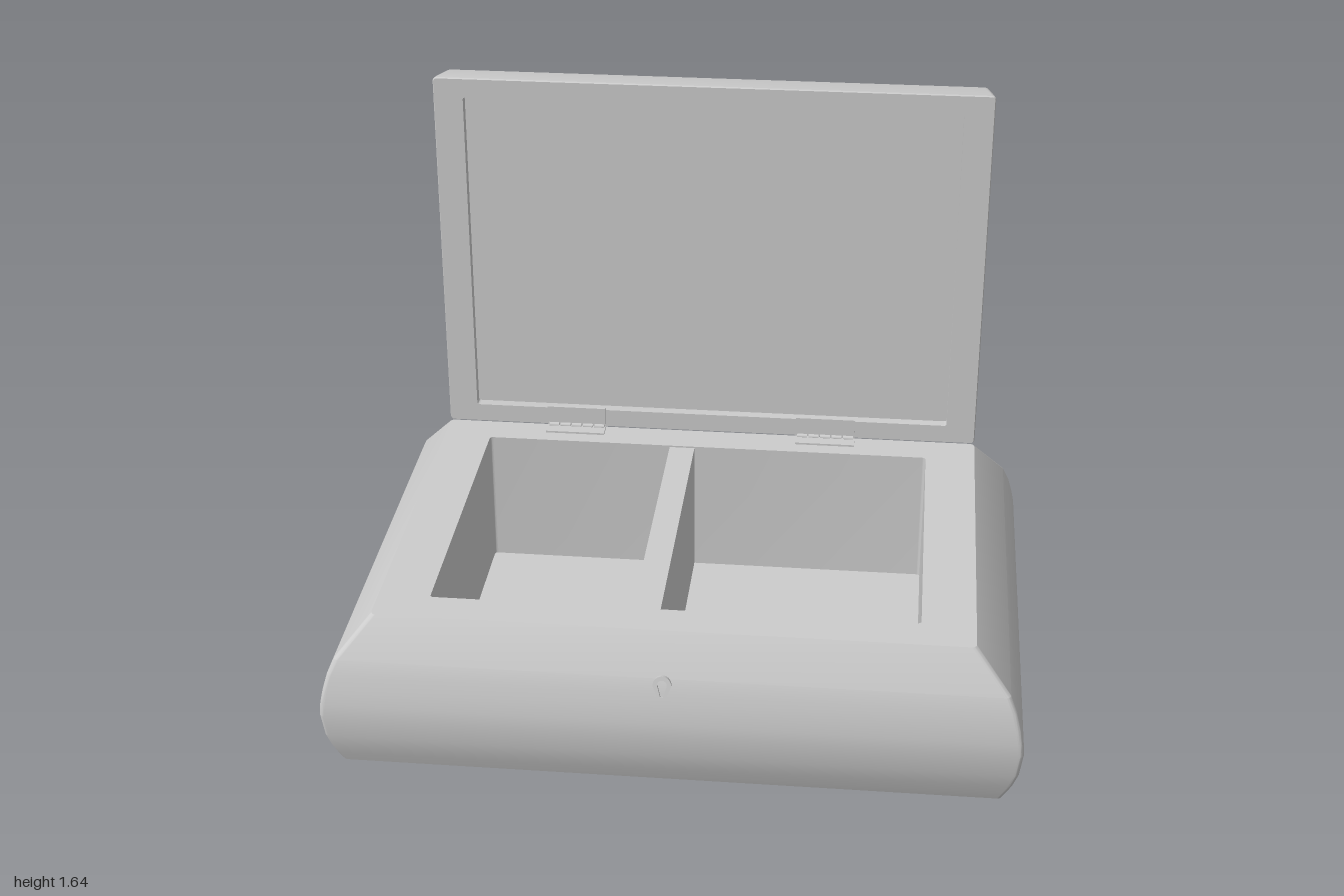
import * as THREE from 'three';
import { toCreasedNormals } from 'three/addons/utils/BufferGeometryUtils.js';

const mat = new THREE.MeshStandardMaterial({ color: 0xcccccc });

function add(parent, name, geo, x = 0, y = 0, z = 0) {
  const m = new THREE.Mesh(geo, mat);
  m.name = name;
  m.position.set(x, y, z);
  parent.add(m);
  return m;
}

// Loft through rounded rectangles { x0, x1, z0, z1, y, r }, closed at both ends
function loft(rings) {
  const SEG = 6, N = 4 * (SEG + 1), pos = [], idx = [];
  for (const { x0, x1, z0, z1, y, r } of rings) {
    const corners = [[x1 - r, z0 + r], [x0 + r, z0 + r], [x0 + r, z1 - r], [x1 - r, z1 - r]];
    corners.forEach(([cx, cz], k) => {
      for (let i = 0; i <= SEG; i++) {
        const a = (k + i / SEG) * Math.PI / 2;
        pos.push(cx + r * Math.cos(a), y, cz - r * Math.sin(a));
      }
    });
  }
  const last = rings.length - 1, c = rings.length * N;
  for (const { x0, x1, z0, z1, y } of [rings[0], rings[last]]) pos.push((x0 + x1) / 2, y, (z0 + z1) / 2);
  for (let i = 0; i < N; i++) {
    const j = (i + 1) % N;
    for (let k = 0; k < last; k++) {
      const a = k * N, b = a + N;
      idx.push(a + i, a + j, b + j, a + i, b + j, b + i);
    }
    idx.push(c, j, i, c + 1, last * N + i, last * N + j);
  }
  const g = new THREE.BufferGeometry();
  g.setAttribute('position', new THREE.Float32BufferAttribute(pos, 3));
  g.setIndex(idx);
  return toCreasedNormals(g, 0.3);
}

// Bulging base with a chamfered rim and hollow interior
function makeBase() {
  const profile = [[0, 0.05], [0.03, 0.035], [0.06, 0.022], [0.1, 0.009], [0.17, 0], [0.21, 0.003],
    [0.25, 0.011], [0.3, 0.025], [0.345, 0.045], [0.46, 0.145]];
  const rings = profile.map(([y, d]) => (
    { x0: -1 + d, x1: 1 - d, z0: -0.68 + 0.7 * d, z1: 0.715 - 0.7 * d, y, r: 0.015 }));
  const cavity = { x0: -0.705, x1: 0.7, z0: -0.47, z1: 0.505, r: 0.01 };
  rings.push({ ...cavity, y: 0.46 }, { ...cavity, y: 0.025 });
  return loft(rings);
}

// Lid lying face up: rounded back edges, a frame and a recessed panel
function makeLid() {
  const half = (x, z, y, r) => ({ x0: -x, x1: x, z0: -z, z1: z, y, r });
  return loft([
    half(0.825, 0.555, 0, 0.02), half(0.832, 0.563, 0.003, 0.02), half(0.837, 0.569, 0.01, 0.02),
    half(0.841, 0.573, 0.02, 0.02), half(0.853, 0.587, 0.115, 0.015), half(0.855, 0.588, 0.135, 0.012),
    half(0.852, 0.586, 0.142, 0.01), half(0.763, 0.528, 0.142, 0.008), half(0.763, 0.528, 0.11, 0.008),
  ]);
}

// Two leaves joined by a row of knuckles
function makeHinge(x) {
  const hinge = new THREE.Group();
  hinge.name = 'hinge';
  hinge.position.set(x, 0.467, -0.566);
  add(hinge, 'lidLeaf', new THREE.BoxGeometry(0.19, 0.064, 0.008), 0, 0.032, -0.004);
  add(hinge, 'baseLeaf', new THREE.BoxGeometry(0.19, 0.008, 0.046), 0, -0.005, 0.023);
  for (let i = 0; i < 5; i++) {
    const knuckle = new THREE.CylinderGeometry(0.008, 0.008, 0.032, 12).rotateZ(Math.PI / 2);
    add(hinge, 'knuckle', knuckle, (i - 2) * 0.037, 0, 0);
  }
  return hinge;
}

// Key drawn along +x from the ring centre, with teeth near the tip
function makeKey() {
  const key = new THREE.Group();
  key.name = 'key';
  const ring = new THREE.Shape().absarc(0, 0, 0.064, 0, Math.PI * 2);
  ring.holes.push(new THREE.Path().absarc(0, 0, 0.037, 0, Math.PI * 2, true));
  const shaft = new THREE.Shape([[0.058, -0.016], [0.2, -0.016], [0.2, -0.05], [0.215, -0.05], [0.218, -0.038],
    [0.23, -0.038], [0.233, -0.052], [0.25, -0.052], [0.25, -0.016], [0.272, -0.014], [0.272, 0.014],
    [0.058, 0.016]].map(([x, y]) => new THREE.Vector2(x, y)));
  const opts = { depth: 0.02, bevelEnabled: true, bevelSize: 0.003, bevelThickness: 0.004, bevelSegments: 2, curveSegments: 24 };
  add(key, 'keyRing', new THREE.ExtrudeGeometry(ring, opts));
  add(key, 'keyShaft', new THREE.ExtrudeGeometry(shaft, opts));
  // Lay flat on the floor of the right compartment, tip to the back left
  key.rotation.set(-Math.PI / 2, 0, Math.PI - 0.645);
  key.scale.y = -1;
  key.scale.y = 1;
  key.position.set(0.32, 0.03, 0.16);
  return key;
}

// Raised teardrop plate with a keyhole
function makeKeyholePlate() {
  const s = new THREE.Shape();
  s.moveTo(-0.009, -0.036);
  s.lineTo(0.009, -0.036);
  s.lineTo(0.025, 0.004);
  s.absarc(0, 0.01, 0.026, -0.2, Math.PI + 0.2);
  s.closePath();
  const h = new THREE.Path();
  h.moveTo(-0.004, -0.026);
  h.lineTo(-0.012, 0.004);
  h.absarc(0, 0.01, 0.014, Math.PI + 0.2, -0.2, true);
  h.lineTo(0.004, -0.026);
  h.closePath();
  s.holes.push(h);
  return new THREE.ExtrudeGeometry(s, { depth: 0.03, bevelEnabled: false, curveSegments: 16 }).translate(0, 0, -0.022);
}

export function createModel() {
  const model = new THREE.Group();
  model.name = 'box';

  add(model, 'base', makeBase());
  add(model, 'divider', new THREE.BoxGeometry(0.08, 0.43, 0.985), -0.08, 0.24, 0.0175);

  // Lid stands upright behind the opening
  add(model, 'lid', makeLid(), 0, 1.052, -0.715).rotation.x = Math.PI / 2;

  for (const x of [-0.435, 0.375]) model.add(makeHinge(x));

  add(model, 'keyholePlate', makeKeyholePlate(), -0.015, 0.32, 0.692).rotation.x = -0.25;
  model.add(makeKey());
  return model;
}
